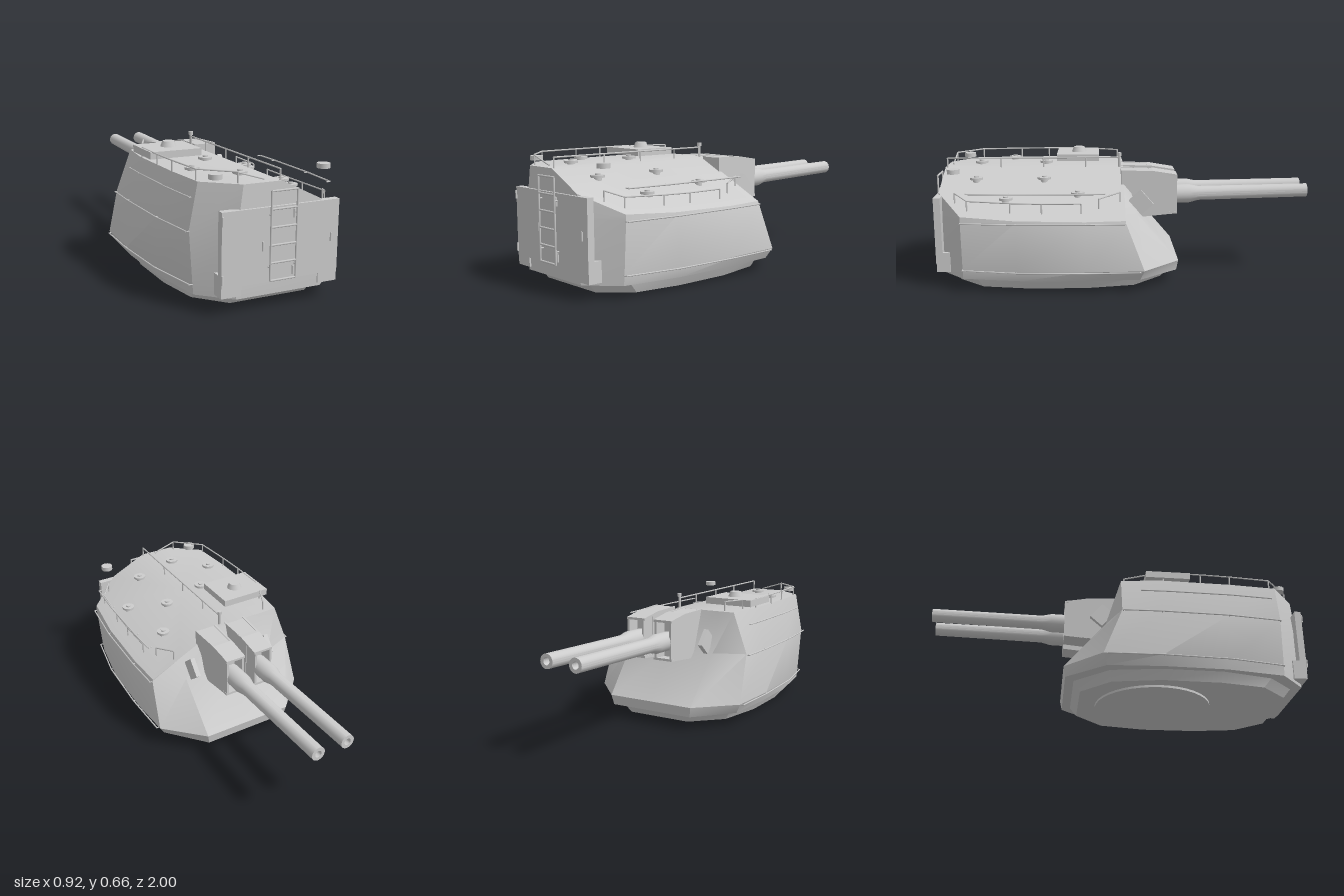
import * as THREE from 'three';
import { toCreasedNormals } from 'three/addons/utils/BufferGeometryUtils.js';

const material = new THREE.MeshStandardMaterial({ color: 0xcccccc, side: THREE.DoubleSide });
const V = (x, y, z) => new THREE.Vector3(x, y, z);
const RIDGE = 0.585;
const roofY = (x) => (x > 0 ? RIDGE - 0.49 * x : RIDGE);

export function createModel() {
  const root = new THREE.Group();
  const add = (name, geometry, x = 0, y = 0, z = 0, parent = root) => {
    const mesh = new THREE.Mesh(geometry, material);
    mesh.name = name;
    mesh.position.set(x, y, z);
    parent.add(mesh);
    return mesh;
  };
  const group = (name) => {
    const g = new THREE.Group();
    g.name = name;
    root.add(g);
    return g;
  };
  const box = (name, w, h, d, x, y, z) => add(name, new THREE.BoxGeometry(w, h, d), x, y, z);
  const disc = (name, r, h, x, y, z, parent, r2 = r) => add(name, new THREE.CylinderGeometry(r2, r, h, 12), x, y, z, parent);
  // Straight round bar between two points
  const bar = (name, a, b, r, parent) => {
    const m = add(name, new THREE.CylinderGeometry(r, r, a.distanceTo(b), 6), 0, 0, 0, parent);
    m.position.copy(a).add(b).multiplyScalar(0.5);
    m.quaternion.setFromUnitVectors(V(0, 1, 0), b.clone().sub(a).normalize());
  };
  const polyBar = (name, points, r, parent) => {
    for (let i = 1; i < points.length; i++) bar(name, points[i - 1], points[i], r, parent);
  };

  // Hull: half outlines [x, z] from door end to gun end, stacked by height;
  // the first two form a drum under a narrow ledge
  const lower = [
    [0.012, [[0.2, 0.87], [0.33, 0.73], [0.37, 0.5], [0.375, 0.2], [0.33, -0.05], [0.18, -0.2]]],
    [0.062, [[0.2, 0.91], [0.335, 0.77], [0.395, 0.51], [0.4, 0.2], [0.36, -0.06], [0.2, -0.235]]],
    [0.066, [[0.22, 0.965], [0.365, 0.83], [0.415, 0.53], [0.425, 0.2], [0.41, -0.08], [0.24, -0.28]]],
    [0.12, [[0.22, 0.968], [0.37, 0.83], [0.43, 0.55], [0.45, 0.2], [0.44, -0.1], [0.25, -0.29]]],
    [0.37, [[0.22, 0.968], [0.387, 0.83], [0.42, 0.55], [0.43, 0.2], [0.425, -0.005], [0.26, -0.075]]],
  ];
  const upper = [[0.19, 0.962], [0.345, 0.83], [0.363, 0.58], [0.37, 0.2], [0.345, -0.003], [0.26, -0.005]];
  const ring = (half, y) => [
    V(0, y, half[0][1]), ...half.map(([x, z]) => V(x, y, z)),
    V(0, y, half[5][1]), ...half.slice().reverse().map(([x, z]) => V(-x, y, z)),
  ];
  const rings = lower.map(([y, half]) => ring(half, y));
  const top = ring(upper, RIDGE);
  // The sloping half of the roof meets the side wall lower down
  const lift = [0.5, 0.05, 0.05, 0.05, 0.05, 1];
  lift.forEach((k, i) => {
    const p = top[i + 1];
    p.lerpVectors(rings[4][i + 1], p, k);
    p.y = roofY(p.x);
  });
  rings.push(top);
  const pos = [];
  const tri = (...pts) => pts.forEach((p) => pos.push(p.x, p.y, p.z));
  const n = top.length;
  const roofMid = V(0, RIDGE, 0.45), floorMid = V(0, 0.012, 0.3);
  for (let j = 0; j < n; j++) {
    const k = (j + 1) % n;
    for (let i = 0; i < rings.length - 1; i++) {
      const a = rings[i], b = rings[i + 1];
      tri(a[j], a[k], b[k]);
      tri(a[j], b[k], b[j]);
    }
    tri(roofMid, top[j], top[k]);
    tri(floorMid, rings[0][k], rings[0][j]);
  }
  const hull = new THREE.BufferGeometry();
  hull.setAttribute('position', new THREE.Float32BufferAttribute(pos, 3));
  add('hull', toCreasedNormals(hull, 0.5));
  add('turntable', new THREE.CylinderGeometry(0.31, 0.31, 0.02, 40), 0, 0.01, 0.2);

  // Gun housings, hollow at the muzzle end
  const slab = (name, points, width, x, parent) => {
    const shape = new THREE.Shape(points.map(([s, y]) => new THREE.Vector2(s, y)));
    const g = new THREE.ExtrudeGeometry(shape, { depth: width, bevelEnabled: false });
    g.translate(0, 0, -width / 2).rotateY(Math.PI / 2);
    return add(name, g, x, 0, 0, parent);
  };
  const barrel = [[0, 0], [0.05, 0], [0.05, 0.12], [0.038, 0.17], [0.036, 0.76], [0.018, 0.76], [0.018, 0.66], [0, 0.66]]
    .map(([r, y]) => new THREE.Vector2(r, y));
  for (const s of [-1, 1]) {
    const housing = group('gunHousing');
    slab('housingCore', [[-0.01, 0.585], [0.16, 0.58], [0.21, 0.565], [0.21, 0.35], [0.11, 0.335], [-0.01, 0.37]], 0.11, s * 0.083, housing);
    for (const [x, lean] of [[0.144, -0.05], [0.031, 0.03]]) {
      const cheek = slab('housingCheek', [[-0.01, 0.588], [0.16, 0.583], [0.29, 0.562], [0.29, 0.35], [0.11, 0.335], [-0.01, 0.37]], 0.012, s * x, housing);
      cheek.rotation.y = -s * lean;
    }
    slab('housingTop', [[0.14, 0.583], [0.16, 0.583], [0.29, 0.562], [0.29, 0.55], [0.14, 0.57]], 0.11, s * 0.083, housing);
    slab('housingBottom', [[0.14, 0.337], [0.29, 0.35], [0.29, 0.362], [0.14, 0.35]], 0.11, s * 0.083, housing);
    const gun = add('gunBarrel', toCreasedNormals(new THREE.LatheGeometry(barrel, 24), 0.5), s * 0.083, 0.447, -0.24);
    gun.rotation.x = -Math.PI / 2 + 0.022;
    // Sighting blocks beside the housings
    box('sightBlock', 0.025, 0.085, 0.1, s * 0.228, 0.433, -0.092).rotation.x = -0.85;
  }

  // Door panel, foot blocks and hinges
  box('doorPanel', 0.6, 0.345, 0.035, 0, 0.303, 0.96);
  for (const s of [-1, 1]) {
    box('doorFoot', 0.1, 0.05, 0.07, s * 0.25, 0.108, 0.94);
    box('doorSideBlock', 0.02, 0.1, 0.07, s * 0.29, 0.135, 0.94);
  }
  for (const [x, y] of [[-0.297, 0.435], [-0.297, 0.17], [-0.097, 0.3], [0.26, 0.3], [0.06, 0.435], [0.06, 0.17]])
    disc('hinge', 0.005, 0.042, x, y, 0.98);

  // Ladder
  const ladder = group('ladder');
  for (const x of [-0.066, 0.066]) {
    bar('ladderRail', V(x, 0.138, 0.994), V(x, 0.552, 0.994), 0.005, ladder);
    for (const y of [0.2, 0.44]) bar('ladderMount', V(x, y, 0.994), V(x, y, 0.96), 0.004, ladder);
  }
  for (let i = 0; i < 6; i++) bar('ladderRung', V(-0.066, 0.14 + i * 0.082, 0.994), V(0.066, 0.14 + i * 0.082, 0.994), 0.005, ladder);

  // Roof vents
  for (const [x, z] of [[-0.11, 0.42], [-0.27, 0.61], [-0.11, 0.78], [0.11, 0.42], [0.27, 0.61], [0.11, 0.78], [0.23, 0.24]]) {
    const vent = group('roofVent');
    disc('ventNeck', 0.02, 0.03, x, roofY(x) - 0.002, z, vent);
    disc('ventCap', 0.035, 0.012, x, roofY(x) + 0.012, z, vent);
    disc('ventKnob', 0.013, 0.008, x, roofY(x) + 0.021, z, vent);
  }
  for (const x of [-0.28, 0.28]) disc('cornerLamp', 0.032, 0.023, x, 0.611, 0.87);

  // Square hatch with a small dome, and the short mast
  box('hatchPlate', 0.275, 0.036, 0.235, -0.24, 0.617, 0.245);
  disc('hatchDome', 0.042, 0.03, -0.23, 0.648, 0.24, root, 0.03);
  bar('mast', V(0, 0.57, 0.015), V(0, 0.645, 0.015), 0.007);
  disc('mastHead', 0.012, 0.018, 0, 0.652, 0.015);

  // Roof rails: level edge, ridge and sloping edge
  const railing = (name, plan) => {
    const g = group(name);
    const rise = 0.05;
    polyBar('railBar', plan.map(([x, z]) => V(x, roofY(x) + rise, z)), 0.004, g);
    for (const [x, z] of plan) bar('railPost', V(x, roofY(x) - 0.005, z), V(x, roofY(x) + rise, z), 0.004, g);
  };
  const edge = [[0.365, 0.22], [0.365, 0.42], [0.358, 0.58], [0.34, 0.8]];
  railing('edgeRailing', [...edge.map(([x, z]) => [-x, z]), [-0.2, 0.93]]);
  railing('slopeRailing', [...edge, [0.28, 0.87]]);
  railing('ridgeRailing', [[0, 0.02], [0, 0.2], [0, 0.43], [0, 0.66], [0, 0.95]]);
  for (const s of [-1, 1]) railing('shortRailing', [[s * 0.28, 0.02], [s * 0.33, 0.13]]);
  bar('endRail', V(-0.2, 0.633, 0.93), V(-0.07, 0.592, 0.93), 0.004);

  // Grab rails along the sides
  const sideRails = [
    [0.115, [[0.385, 0.83], [0.438, 0.55], [0.456, 0.2], [0.45, -0.08]]],
    [0.365, [[0.4, 0.83], [0.432, 0.55], [0.442, 0.2], [0.437, 0.0]]],
    [0.51, [[0.37, 0.8], [0.387, 0.58], [0.393, 0.25], [0.39, 0.1]]],
  ];
  for (const s of [-1, 1]) for (const [y, plan] of sideRails) {
    const g = group('sideRail');
    polyBar('sideRailBar', plan.map(([x, z]) => V(s * x, y, z)), 0.004, g);
    for (const [x, z] of plan) bar('sideRailBracket', V(s * x, y, z), V(s * (x - 0.02), y, z), 0.003, g);
  }
  return root;
}
